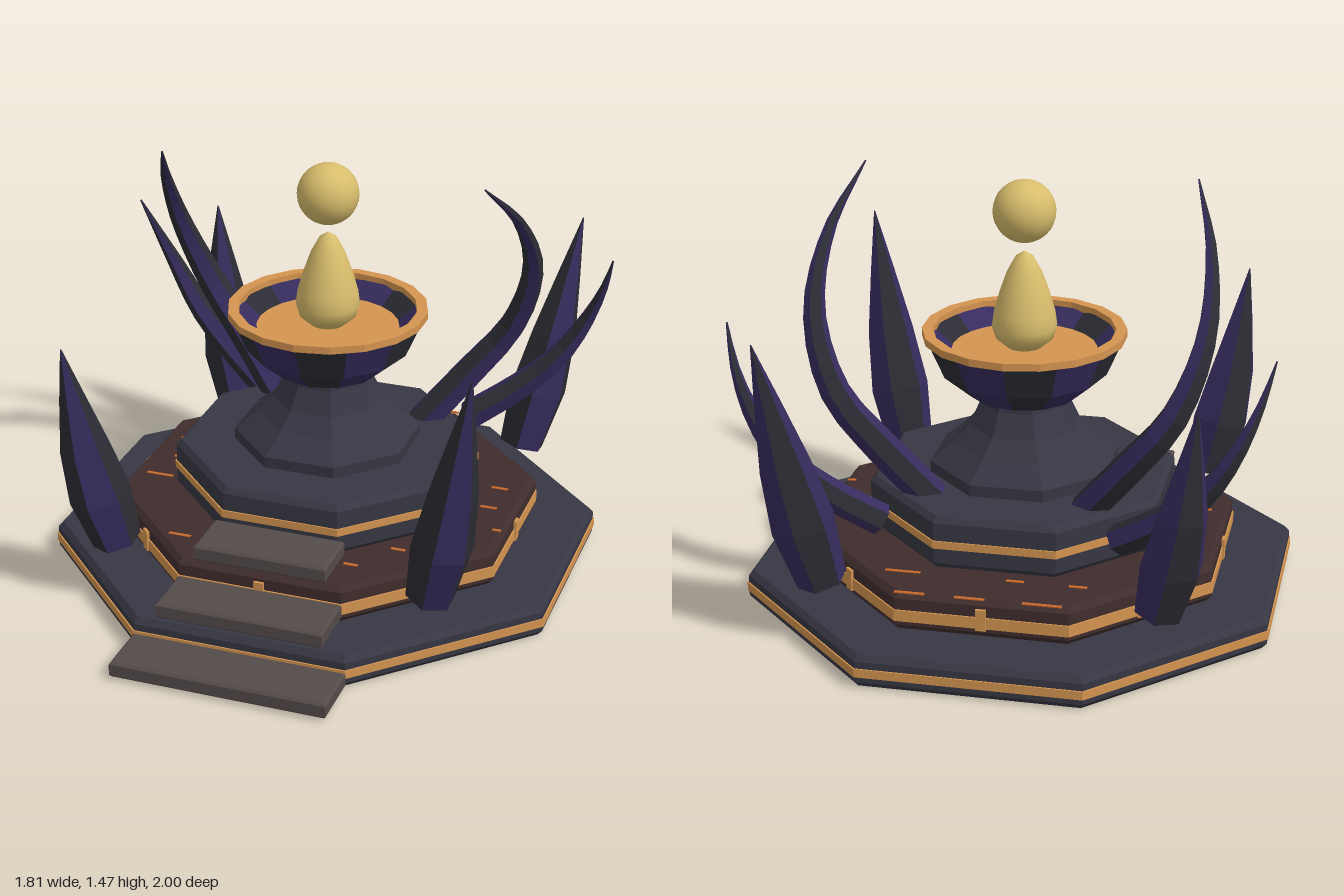
import * as THREE from 'three';

const mat = (name, color, extra = {}) => {
  const m = new THREE.MeshStandardMaterial({ color, flatShading: true, ...extra });
  m.name = name;
  return m;
};

export function createModel() {
  const stone = mat('slate stone', 0x363743);
  const brown = mat('brown stone', 0x402d2d);
  const stepStone = mat('step stone', 0x544b4a);
  const gold = mat('gold trim', 0xd49450);
  const flameGold = mat('pale gold', 0xd8bd6c, { flatShading: false });
  const purple = mat('purple crystal', 0x372c5e);
  const dark = mat('dark crystal', 0x2c2d34);
  const ember = mat('ember', 0xcc6a2c);

  const model = new THREE.Group();
  model.name = 'brazierShrine';
  const core = new THREE.Group(); // everything round shares this axis
  core.name = 'shrineCore';
  core.position.z = -0.1;
  model.add(core);

  const add = (parent, name, geo, material, x = 0, y = 0, z = 0) => {
    const m = new THREE.Mesh(geo, material);
    m.name = name;
    m.position.set(x, y, z);
    parent.add(m);
    return m;
  };
  const lathe = (pts, seg, phi = 0, len = Math.PI * 2) =>
    new THREE.LatheGeometry(pts.map(p => new THREE.Vector2(...p)), seg, phi, len);
  // Octagonal lathe whose profile radii are measured to the flat faces
  const oct = pts => lathe(pts.map(([r, y]) => [r / Math.cos(Math.PI / 8), y]), 8, Math.PI / 8);
  const ring = (r0, r1, y0, y1) => [[r0, y0], [r1, y0], [r1, y1], [r0, y1]];

  // Three bevelled tiers, each with a gold band
  [
    ['lowerTier', 0.9, 0, 0.115, stone, 0.04, 0.07],
    ['middleTier', 0.7, 0.115, 0.25, brown, 0.15, 0.19],
    ['upperTier', 0.5, 0.25, 0.435, stone, 0.325, 0.352],
  ].forEach(([name, r, y0, y1, m, b0, b1]) => {
    const c = 0.02;
    add(core, name, oct([[0, y0], [r - c, y0], [r - 0.003, y0 + c], [r - 0.003, y1 - c], [r - c, y1], [0, y1]]), m);
    add(core, name + 'Band', oct(ring(r - 0.02, r + 0.002, b0, b1)), gold);
  });

  // Gold clasps at the middle of each face of the middle tier
  for (let i = 0; i < 8; i++) {
    const a = i * Math.PI / 4;
    add(core, 'clasp', new THREE.BoxGeometry(0.035, 0.075, 0.014), gold,
      Math.sin(a) * 0.7, 0.182, Math.cos(a) * 0.7).rotation.y = a;
  }

  // Ember cracks in the middle tier floor: [x, z, length]
  [
    [-0.2, -0.69, 0.13], [0.04, -0.69, 0.1], [0.24, -0.69, 0.1], [-0.29, -0.54, 0.06], [0.3, -0.54, 0.12],
    [-0.08, -0.54, 0.06], [-0.58, -0.15, 0.1], [0.6, -0.15, 0.06], [-0.57, 0, 0.05], [0.6, 0, 0.06],
    [-0.59, 0.15, 0.1], [0.67, 0.15, 0.03], [0.39, 0.39, 0.05], [-0.35, 0.54, 0.08], [0.27, 0.54, 0.05],
  ].forEach(([x, z, w]) => add(core, 'emberCrack', new THREE.BoxGeometry(w, 0.004, 0.012), ember, x, 0.251, z));

  // Front steps: [width, bottom, centre z]
  [[0.75, 0.008, 0.9], [0.585, 0.135, 0.7], [0.47, 0.258, 0.5]].forEach(([w, y, z]) => {
    const s = new THREE.Shape();
    const h = w / 2 - 0.008, d = 0.092;
    s.moveTo(-h, -d); s.lineTo(h, -d); s.lineTo(h, d); s.lineTo(-h, d);
    const g = new THREE.ExtrudeGeometry(s, { depth: 0.04, bevelSize: 0.008, bevelThickness: 0.008, bevelSegments: 1 });
    g.rotateX(-Math.PI / 2);
    add(model, 'step', g, stepStone, 0, y + 0.008, z);
  });

  // Pedestal
  add(core, 'pedestal', oct([[0.305, 0.43], [0.305, 0.475], [0.23, 0.54], [0.18, 0.6], [0.145, 0.68], [0.14, 0.72]]), stone);

  // Bowl: twelve facets in alternating colours, outside then inside
  const bowl = [[0, 0.705], [0.19, 0.71], [0.285, 0.79], [0.34, 0.917], [0.315, 0.917], [0.24, 0.85], [0.2, 0.84]];
  for (let i = 0; i < 12; i++) {
    add(core, 'bowlFacet', lathe(bowl, 1, i * Math.PI / 6, Math.PI / 6), i % 2 ? purple : dark);
  }
  add(core, 'bowlRim', lathe([...ring(0.312, 0.35, 0.912, 0.938), [0.312, 0.912]], 18), gold);
  add(core, 'bowlFill', new THREE.CylinderGeometry(0.25, 0.24, 0.02, 24), gold, 0, 0.856, 0);

  // Flame and floating orb
  add(core, 'flame', lathe([[0, 0.862], [0.06, 0.875], [0.1, 0.91], [0.112, 0.95], [0.105, 1.0],
    [0.085, 1.07], [0.06, 1.14], [0.03, 1.195], [0, 1.215]], 20), flameGold);
  add(core, 'orb', new THREE.SphereGeometry(0.107, 24, 16), flameGold, 0, 1.353, 0);

  // Faceted tapering spike swept along a path, with one colour group per side
  function spike(path, radii, sides, steps) {
    const curve = new THREE.CatmullRomCurve3(path.map(p => new THREE.Vector3(...p)));
    const { tangents, normals, binormals } = curve.computeFrenetFrames(steps);
    const radius = t => {
      const f = t * (radii.length - 1), i = Math.min(Math.floor(f), radii.length - 2);
      return THREE.MathUtils.lerp(radii[i], radii[i + 1], f - i);
    };
    const point = (i, j) => {
      const a = (j % sides) / sides * Math.PI * 2, r = radius(i / steps);
      return curve.getPointAt(i / steps)
        .addScaledVector(normals[i], Math.cos(a) * r)
        .addScaledVector(binormals[i], Math.sin(a) * r);
    };
    const pos = [], geo = new THREE.BufferGeometry();
    const tri = (...v) => v.forEach(p => pos.push(p.x, p.y, p.z));
    for (let j = 0; j < sides; j++) {
      const start = pos.length / 3;
      tri(curve.getPointAt(0), point(0, j + 1), point(0, j));
      for (let i = 0; i < steps; i++) {
        const a = point(i, j), b = point(i, j + 1), c = point(i + 1, j + 1), d = point(i + 1, j);
        tri(a, b, c);
        tri(a, c, d);
      }
      geo.addGroup(start, pos.length / 3 - start, j % 2);
    }
    geo.setAttribute('position', new THREE.Float32BufferAttribute(pos, 3));
    geo.computeVertexNormals();
    return geo;
  }

  const spikeMats = [dark, purple];
  for (const s of [-1, 1]) {
    const flip = pts => pts.map(([x, y, z]) => [s * x, y, z]);
    const side = s > 0 ? 'left' : 'right';
    // Large horns curling forward over the bowl
    add(model, side + 'LargeHorn', spike(flip([[0.26, 0.4, -0.37], [0.42, 0.6, -0.43], [0.57, 0.8, -0.455],
      [0.655, 1.05, -0.38], [0.645, 1.28, -0.22], [0.57, 1.47, -0.01]]),
      [0.06, 0.058, 0.05, 0.036, 0.02, 0.003], 6, 16), spikeMats);
    // Small outer horns
    add(model, side + 'SmallHorn', spike(flip([[0.4, 0.38, -0.53], [0.56, 0.49, -0.59], [0.7, 0.62, -0.63],
      [0.8, 0.78, -0.64], [0.86, 0.92, -0.61], [0.9, 1.055, -0.555]]),
      [0.055, 0.052, 0.046, 0.034, 0.018, 0.003], 6, 12), spikeMats);
    // Standing crystals, front and back, taller on the left
    const tip = s > 0 ? [0.725, 1.09] : [0.688, 0.97];
    for (const f of [1, -1]) {
      const z = d => -0.1 + f * d;
      add(model, side + (f > 0 ? 'Front' : 'Back') + 'Crystal', spike(flip([[0.565, 0.22, z(0.59)],
        [0.635, 0.55, z(0.645)], [tip[0], tip[1], z(s > 0 ? 0.735 : 0.7)]]),
        [0.085, 0.108, 0.085, 0.045, 0.002], 6, 4), spikeMats);
    }
  }
  return model;
}
